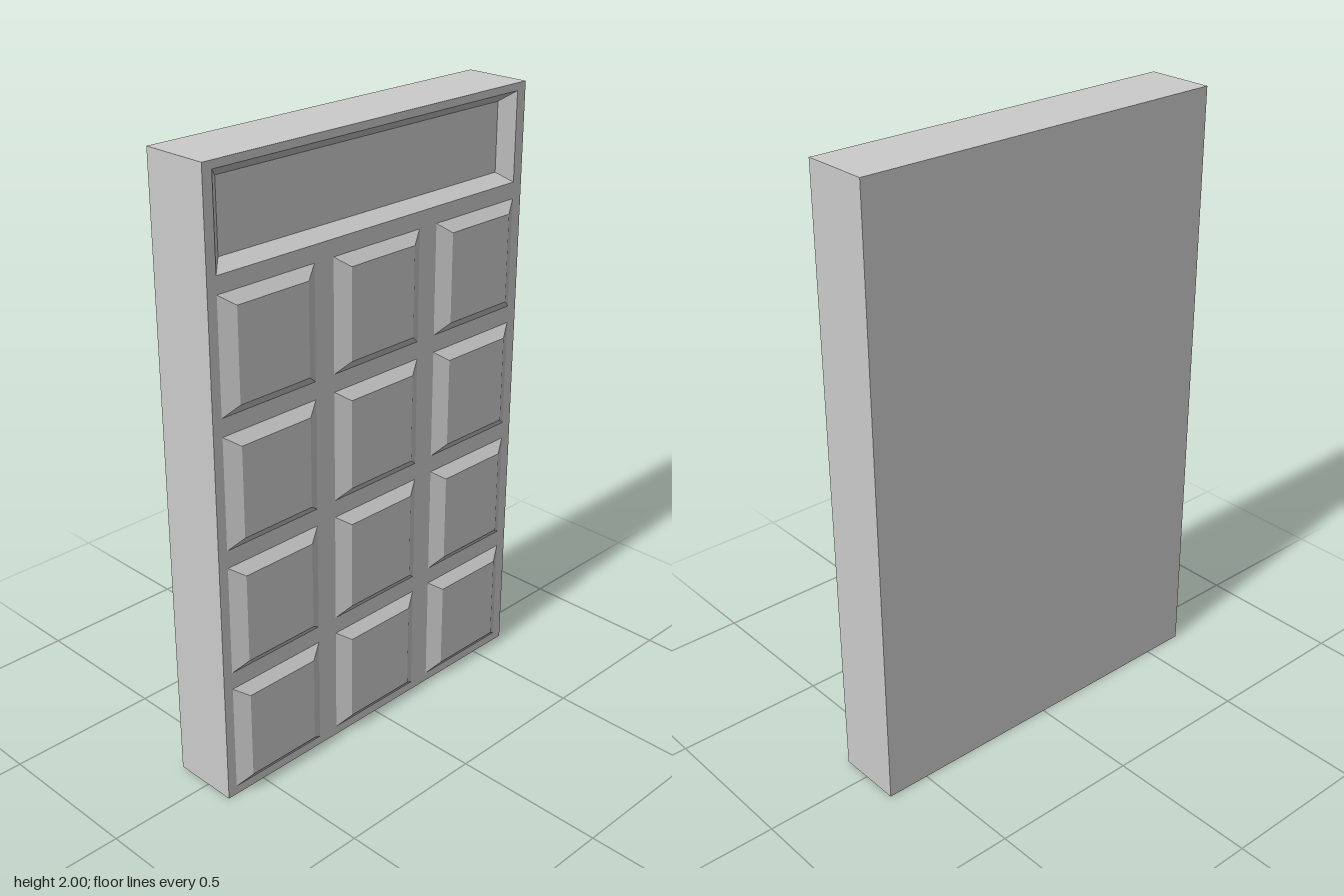
import * as THREE from 'three';

const material = new THREE.MeshStandardMaterial({ color: 0xcccccc, flatShading: true });

// Rectangle outline at depth z, counter-clockwise seen from the front
const rect = (cx, cy, w, h, z) => [[-1, -1], [1, -1], [1, 1], [-1, 1]]
  .map(([sx, sy]) => [cx + sx * w / 2, cy + sy * h / 2, z]);

// Solid joining successive outlines, capped at both ends, with hard edges
function loft(name, rings) {
  const points = [];
  const quad = (a, b, c, d) => points.push(...a, ...b, ...c, ...a, ...c, ...d);
  for (let r = 0; r < rings.length - 1; r++) {
    const a = rings[r], b = rings[r + 1];
    for (let i = 0; i < 4; i++) {
      const j = (i + 1) % 4;
      quad(a[i], a[j], b[j], b[i]);
    }
  }
  quad(...[...rings[0]].reverse());
  quad(...rings[rings.length - 1]);
  const geometry = new THREE.BufferGeometry();
  geometry.setAttribute('position', new THREE.Float32BufferAttribute(points, 3));
  geometry.computeVertexNormals();
  const mesh = new THREE.Mesh(geometry, material);
  mesh.name = name;
  return mesh;
}

export function createModel() {
  const model = new THREE.Group();
  model.name = 'keypad';
  const back = -0.124, front = 0.098;

  // Slab body whose front face steps down into the bevelled display recess
  model.add(loft('body', [
    rect(0, 1, 1.285, 2, back),
    rect(0, 1, 1.285, 2, front),
    rect(-0.002, 1.833, 1.215, 0.286, front),
    rect(-0.002, 1.833, 1.13, 0.222, front - 0.04),
  ]));

  // Three columns by four rows of bevelled keys
  const keys = new THREE.Group();
  keys.name = 'keys';
  for (let row = 0; row < 4; row++) {
    for (let col = 0; col < 3; col++) {
      const x = -0.002 + (col - 1) * 0.43, y = 0.209 + row * 0.416;
      keys.add(loft('key', [
        rect(x, y, 0.356, 0.359, front),
        rect(x, y, 0.262, 0.291, 0.124),
      ]));
    }
  }
  model.add(keys);
  return model;
}
